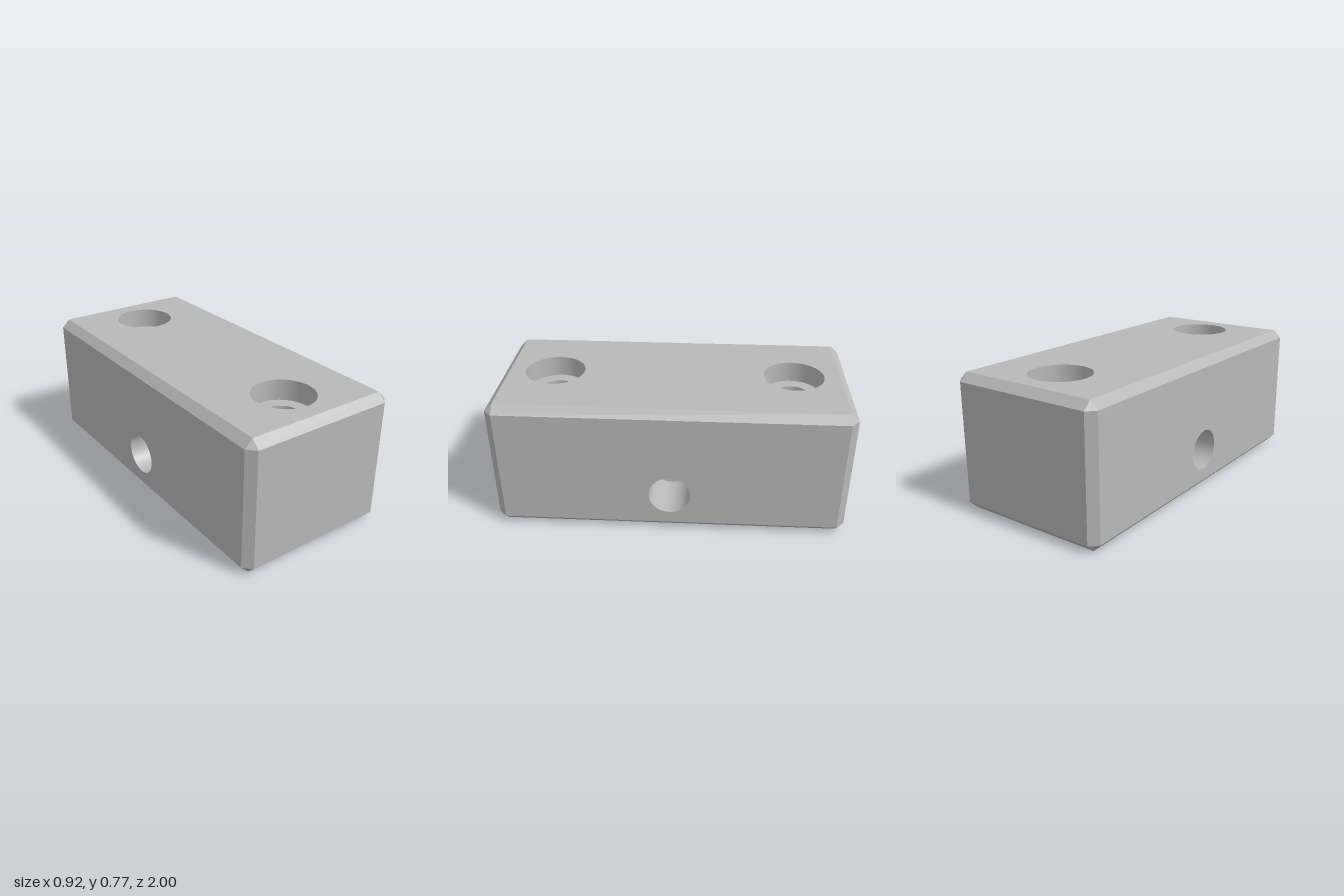
import * as THREE from 'three';
import { mergeGeometries } from 'three/addons/utils/BufferGeometryUtils.js';

const X = 0.46, H = 0.77, Z = 1, C = 0.045;            // half width, height, half length, chamfer
const BOLT_Z = 0.69, BORE_TOP = 0.172, BORE = 0.1, BORE_LOW = 0.158;
const CROSS_Y = 0.234, CROSS_R = 0.117;                // sideways through hole
const SLOT_X = 0.17, SLOT_Z = 0.425, SLOT_H = 0.47;    // pocket underneath
const SEG = 64;

// Rectangle centred on u = 0, from v0 to v1
function rectPoints(u, v0, v1) {
  return [[-u, v0], [u, v0], [u, v1], [-u, v1]].map(([a, b]) => new THREE.Vector2(a, b));
}

// Flat plate facing +z with round holes [u, v, r] and an optional rectangular one
function plate(points, circles = [], rect = null) {
  const shape = new THREE.Shape(points);
  for (const [u, v, r] of circles) {
    shape.holes.push(new THREE.Path().absarc(u, v, r, 0, Math.PI * 2, true));
  }
  if (rect) shape.holes.push(new THREE.Path(rect));
  return new THREE.ShapeGeometry(shape, SEG / 2);
}

// Bore walls traced downwards, so they face the axis; every step stays sharp
function bore(profile) {
  const parts = [];
  for (let i = 0; i + 1 < profile.length; i++) {
    const pair = [profile[i], profile[i + 1]].map(([r, y]) => new THREE.Vector2(r, y));
    parts.push(new THREE.LatheGeometry(pair, SEG));
  }
  return mergeGeometries(parts);
}

// Flat convex polygon turned away from the block's centre
function facet(corners) {
  const p = corners.map((c) => new THREE.Vector3(...c));
  const n = p[1].clone().sub(p[0]).cross(p[2].clone().sub(p[0]));
  if (n.dot(p[0]) < 0) p.reverse();
  const pts = [];
  for (let i = 1; i + 1 < p.length; i++) pts.push(p[0], p[i], p[i + 1]);
  const g = new THREE.BufferGeometry().setFromPoints(pts);
  g.computeVertexNormals();
  return g;
}

// Chamfer strips along the twelve edges and triangles on the eight corners
function chamfers() {
  const half = [X, H / 2, Z];
  const parts = [];
  // corner point lying on the face of the given axis
  const corner = (signs, face) => signs.map((s, i) => s * (i === face ? half[i] : half[i] - C));
  const both = [-1, 1];
  for (let axis = 0; axis < 3; axis++) {
    const b = (axis + 1) % 3, c = (axis + 2) % 3;
    for (const sb of both) for (const sc of both) {
      const at = (end, face) => {
        const signs = [0, 0, 0];
        signs[axis] = end; signs[b] = sb; signs[c] = sc;
        return corner(signs, face);
      };
      parts.push(facet([at(-1, b), at(1, b), at(1, c), at(-1, c)]));
    }
  }
  for (const x of both) for (const y of both) for (const z of both) {
    parts.push(facet([0, 1, 2].map((f) => corner([x, y, z], f))));
  }
  return mergeGeometries(parts).translate(0, H / 2, 0);
}

export function createModel() {
  const group = new THREE.Group();
  const grey = new THREE.MeshStandardMaterial({ color: 0xb8b8b8 });
  grey.name = 'grey';
  const add = (name, geometry) => {
    const mesh = new THREE.Mesh(geometry, grey);
    mesh.name = name;
    group.add(mesh);
  };

  // Outer faces
  const ends = [-BOLT_Z, BOLT_Z];
  const base = rectPoints(X - C, -(Z - C), Z - C);
  add('topFace', plate(base, ends.map((z) => [0, z, BORE_TOP]))
    .rotateX(-Math.PI / 2).translate(0, H, 0));
  add('bottomFace', plate(base, ends.map((z) => [0, z, BORE_LOW]), rectPoints(SLOT_X, -SLOT_Z, SLOT_Z))
    .rotateX(Math.PI / 2));
  for (const s of [-1, 1]) {
    add(s > 0 ? 'leftFace' : 'rightFace', plate(rectPoints(Z - C, C, H - C), [[0, CROSS_Y, CROSS_R]])
      .rotateY(s * Math.PI / 2).translate(s * X, 0, 0));
    add(s > 0 ? 'frontFace' : 'backFace', plate(rectPoints(X - C, C, H - C))
      .rotateY(s > 0 ? 0 : Math.PI).translate(0, 0, s * Z));
  }
  add('chamferedEdges', chamfers());

  // Stepped bolt holes
  for (const z of ends) {
    add('boltHole', bore([
      [BORE_TOP, H], [BORE_TOP, 0.65], [BORE, 0.65], [BORE, 0.35], [BORE_LOW, 0.35], [BORE_LOW, 0],
    ]).translate(0, 0, z));
  }

  // Pocket underneath and the cross hole that opens into it
  for (const s of [-1, 1]) {
    add('pocketSide', plate(rectPoints(SLOT_Z, 0, SLOT_H), [[0, CROSS_Y, CROSS_R]])
      .rotateY(-s * Math.PI / 2).translate(s * SLOT_X, 0, 0));
    add('pocketEnd', plate(rectPoints(SLOT_X, 0, SLOT_H))
      .rotateY(s > 0 ? Math.PI : 0).translate(0, 0, s * SLOT_Z));
    add('crossHole', bore([[CROSS_R, X], [CROSS_R, SLOT_X]])
      .rotateZ(-s * Math.PI / 2).translate(0, CROSS_Y, 0));
  }
  add('pocketCeiling', plate(rectPoints(SLOT_X, -SLOT_Z, SLOT_Z))
    .rotateX(Math.PI / 2).translate(0, SLOT_H, 0));

  return group;
}
